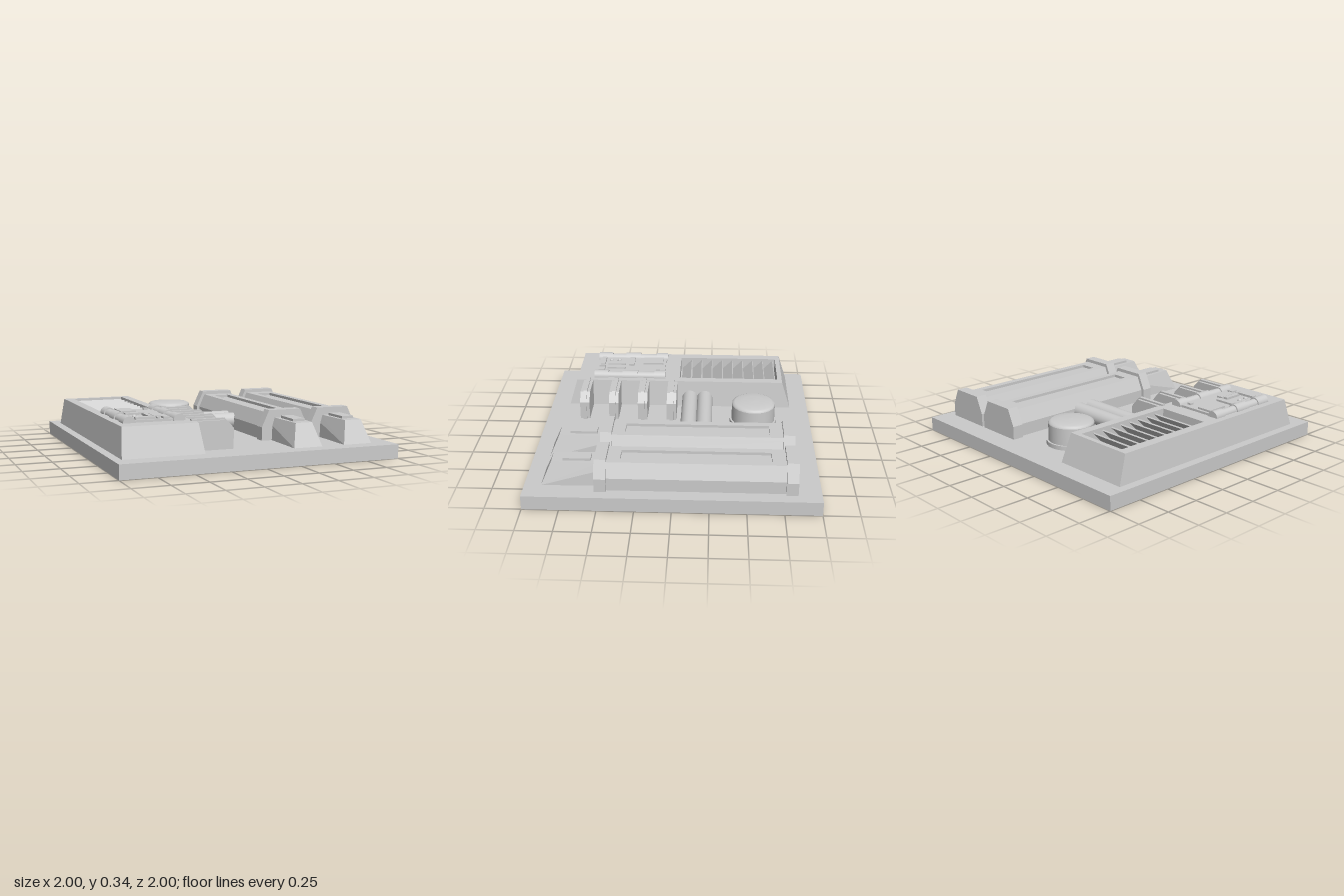
import * as THREE from 'three';
import { ConvexGeometry } from 'three/addons/geometries/ConvexGeometry.js';

const flat = new THREE.MeshStandardMaterial({ color: 0xcccccc, flatShading: true });
const smooth = new THREE.MeshStandardMaterial({ color: 0xcccccc });

function add(parent, name, geometry, material = flat) {
  const mesh = new THREE.Mesh(geometry, material);
  mesh.name = name;
  parent.add(mesh);
  return mesh;
}

// Box given by its limits
function box(parent, name, x0, x1, y0, y1, z0, z1) {
  const mesh = add(parent, name, new THREE.BoxGeometry(x1 - x0, y1 - y0, z1 - z0));
  mesh.position.set((x0 + x1) / 2, (y0 + y1) / 2, (z0 + z1) / 2);
  return mesh;
}

// Profile in x/y pushed along z
function prism(parent, name, points, z0, z1) {
  const shape = new THREE.Shape(points.map(([x, y]) => new THREE.Vector2(x, y)));
  const g = new THREE.ExtrudeGeometry(shape, { depth: z1 - z0, bevelEnabled: false });
  return add(parent, name, g.translate(0, 0, z0));
}

const rect = (path, [x0, x1, z0, z1]) =>
  path.moveTo(x0, -z1).lineTo(x1, -z1).lineTo(x1, -z0).lineTo(x0, -z0).closePath();

// Tapered block with a straight rectangular hole; rectangles are [x0, x1, z0, z1]
function taperedFrame(parent, name, top, bottom, hole, y0, y1) {
  const shape = rect(new THREE.Shape(), top);
  shape.holes.push(rect(new THREE.Path(), hole));
  const g = new THREE.ExtrudeGeometry(shape, { depth: y1 - y0, bevelEnabled: false });
  g.rotateX(-Math.PI / 2).translate(0, y0, 0);
  const p = g.attributes.position;
  for (let i = 0; i < p.count; i++) {
    const x = p.getX(i), z = p.getZ(i), e = 1e-4;
    const inHole = x > hole[0] - e && x < hole[1] + e && z > hole[2] - e && z < hole[3] + e;
    if (inHole || p.getY(i) > (y0 + y1) / 2) continue;
    p.setX(i, THREE.MathUtils.mapLinear(x, top[0], top[1], bottom[0], bottom[1]));
    p.setZ(i, THREE.MathUtils.mapLinear(z, top[2], top[3], bottom[2], bottom[3]));
  }
  g.computeVertexNormals();
  return add(parent, name, g);
}

// Symmetric chamfered profile
const hump = (w, shoulder, topW, top) => [
  [-w, 0.1], [w, 0.1], [w, shoulder], [topW, top], [-topW, top], [-w, shoulder]];

function makeHousing() {
  const g = new THREE.Group();
  g.name = 'ventHousing';
  taperedFrame(g, 'housingShell', [-0.92, -0.4, -0.8, 0.8], [-0.94, -0.375, -0.865, 0.86],
    [-0.85, -0.465, -0.765, 0], 0.1, 0.3);
  box(g, 'ventFloor', -0.85, -0.465, 0.1, 0.2, -0.765, 0);
  for (let i = 0; i < 9; i++) {
    const slat = add(g, 'ventSlat', new THREE.BoxGeometry(0.375, 0.01, 0.105));
    slat.position.set(-0.657, 0.245, -0.71 + i * 0.0822);
    slat.rotation.x = Math.PI / 4;
  }
  return g;
}

function makePanel() {
  const g = new THREE.Group();
  g.name = 'controlPanel';
  box(g, 'panelPlate', -0.8, -0.51, 0.29, 0.316, 0.12, 0.66);
  // Raised blocks: x0, x1, z0, z1, top
  const blocks = [
    [-0.78, -0.67, 0.14, 0.3, 0.33], [-0.58, -0.55, 0.16, 0.19, 0.33],
    [-0.78, -0.64, 0.37, 0.415, 0.33], [-0.63, -0.58, 0.44, 0.58, 0.328],
    [-0.675, -0.642, 0.445, 0.58, 0.332], [-0.78, -0.64, 0.605, 0.64, 0.332],
    [-0.63, -0.615, 0.6, 0.65, 0.328], [-0.59, -0.545, 0.6, 0.65, 0.328]];
  for (const [x0, x1, z0, z1, top] of blocks) box(g, 'panelBlock', x0, x1, 0.3, top, z0, z1);
  for (const z of [0.5, 0.565]) {
    const button = add(g, 'panelButton', new THREE.SphereGeometry(0.016, 12, 8), smooth);
    button.position.set(-0.745, 0.316, z);
  }
  // Stepped side rods
  const steps = [0.11, 0.2, 0.33, 0.45, 0.56, 0.67];
  for (const x of [-0.83, -0.485]) {
    for (let i = 0; i < 5; i++) {
      const r = i % 2 ? 0.034 : 0.043;
      const rod = add(g, 'panelRod',
        new THREE.CylinderGeometry(r, r, steps[i + 1] - steps[i], 20), smooth);
      rod.rotation.x = Math.PI / 2;
      rod.position.set(x, 0.302, (steps[i] + steps[i + 1]) / 2);
    }
  }
  return g;
}

function makeRib(z) {
  const g = new THREE.Group();
  g.name = 'coolingRib';
  const profile = d => [[-0.42, 0.1], [-0.13 + d, 0.1], [-0.13 + d, 0.235 + d / 2],
    [-0.19 + d / 2, 0.298 + d], [-0.42, 0.298 + d]];
  prism(g, 'ribBody', profile(0), -0.036, 0.036);
  prism(g, 'ribCore', profile(0.012), -0.014, 0.014);
  g.position.z = z;
  return g;
}

function makeCapsule(x) {
  const g = new THREE.Group();
  g.name = 'longCasing';
  prism(g, 'casingBody', hump(0.155, 0.19, 0.119, 0.27), -0.83, 0.5);
  taperedFrame(g, 'casingTop', [-0.11, 0.11, -0.83, 0.5], [-0.119, 0.119, -0.83, 0.5],
    [-0.06, 0.06, -0.665, 0.35], 0.27, 0.29);
  for (const z of [-0.84, 0.44]) prism(g, 'casingCollar', hump(0.178, 0.195, 0.122, 0.315), z, z + 0.08);
  // Tapered nose with a raised pad
  const nose = [];
  for (const s of [-1, 1]) {
    for (const [px, py, pz] of [[0.1, 0.1, 0.5], [0.095, 0.21, 0.5], [0.08, 0.26, 0.5],
      [0.107, 0.1, 0.885], [0.062, 0.26, 0.815]]) nose.push(new THREE.Vector3(s * px, py, pz));
  }
  add(g, 'casingNose', new ConvexGeometry(nose));
  box(g, 'nosePad', -0.045, 0.045, 0.25, 0.277, 0.55, 0.74);
  g.position.x = x;
  return g;
}

export function createModel() {
  const model = new THREE.Group();
  model.name = 'machineryTile';
  box(model, 'basePlate', -1, 1, 0, 0.1, -1, 1);
  model.add(makeHousing(), makePanel());
  for (let i = 0; i < 4; i++) model.add(makeRib(0.05 + i * 0.22));
  for (const x of [0.3625, 0.745]) model.add(makeCapsule(x));

  // Pipes between housing and casing
  for (const z of [-0.2, -0.085]) {
    const pipe = add(model, 'crossPipe', new THREE.CylinderGeometry(0.06, 0.06, 0.63, 24), smooth);
    pipe.rotation.z = Math.PI / 2;
    pipe.position.set(-0.085, 0.165, z);
  }

  // Round tank with a foot ring and a softly domed cap
  const foot = add(model, 'tankFoot', new THREE.CylinderGeometry(0.176, 0.176, 0.03, 24), smooth);
  foot.position.set(-0.128, 0.115, -0.57);
  const wall = add(model, 'tankWall', new THREE.CylinderGeometry(0.162, 0.162, 0.15, 24, 1, true), smooth);
  wall.position.set(-0.128, 0.175, -0.57);
  const cap = [[0.162, 0.25], [0.157, 0.262], [0.14, 0.27], [0.08, 0.276], [0, 0.278]];
  const dome = add(model, 'tankCap',
    new THREE.LatheGeometry(cap.map(([r, y]) => new THREE.Vector2(r, y)), 24), smooth);
  dome.position.set(-0.128, 0, -0.57);
  return model;
}
